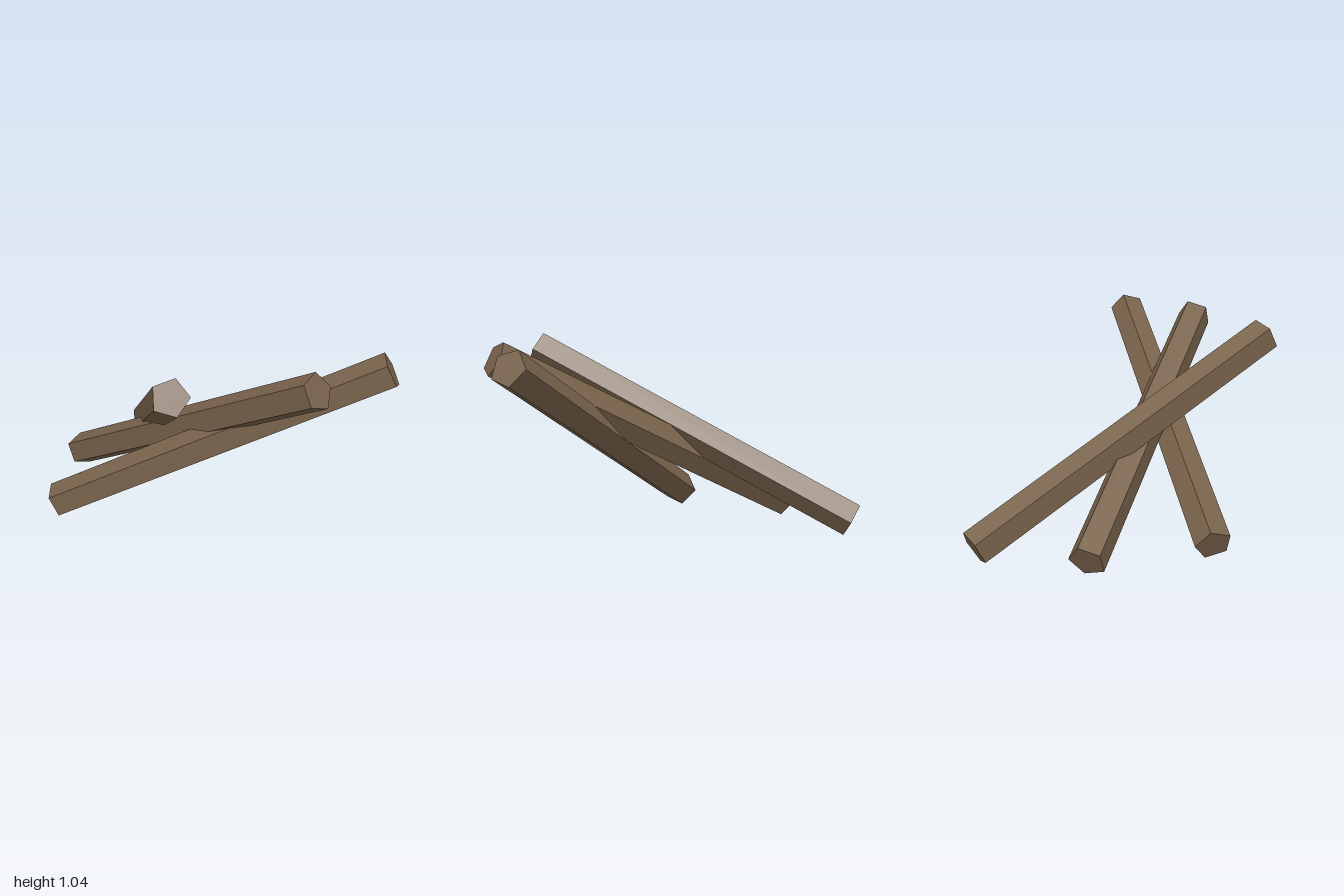
import * as THREE from 'three';

const RADIUS = 0.0965, RISE = 0.88, MID_Y = 0.522;

export function createModel() {
  const group = new THREE.Group();
  group.name = 'crossedLogs';
  const wood = new THREE.MeshStandardMaterial({ color: 0x78624b, flatShading: true });
  wood.name = 'brown wood';

  // One five-sided log, tilted along (dx, RISE, dz), with one ridge kept level at its side
  const addLog = (name, midX, dx, dz) => {
    const axis = new THREE.Vector3(dx, RISE, dz);
    const length = axis.length();
    axis.normalize();
    const ridge = new THREE.Vector3(dz, 0, -dx).normalize();
    const across = new THREE.Vector3().crossVectors(axis, ridge);
    const log = new THREE.Mesh(new THREE.CylinderGeometry(RADIUS, RADIUS, length, 5), wood);
    log.name = name;
    log.quaternion.setFromRotationMatrix(new THREE.Matrix4().makeBasis(across, axis, ridge));
    log.position.set(midX, MID_Y, 0);
    group.add(log);
  };

  addLog('rightLog', -0.222, 1.43, 0.978);
  addLog('middleLog', 0.02, 1.724, -0.17);
  addLog('leftLog', 0.266, 1.326, -1.115);
  return group;
}
